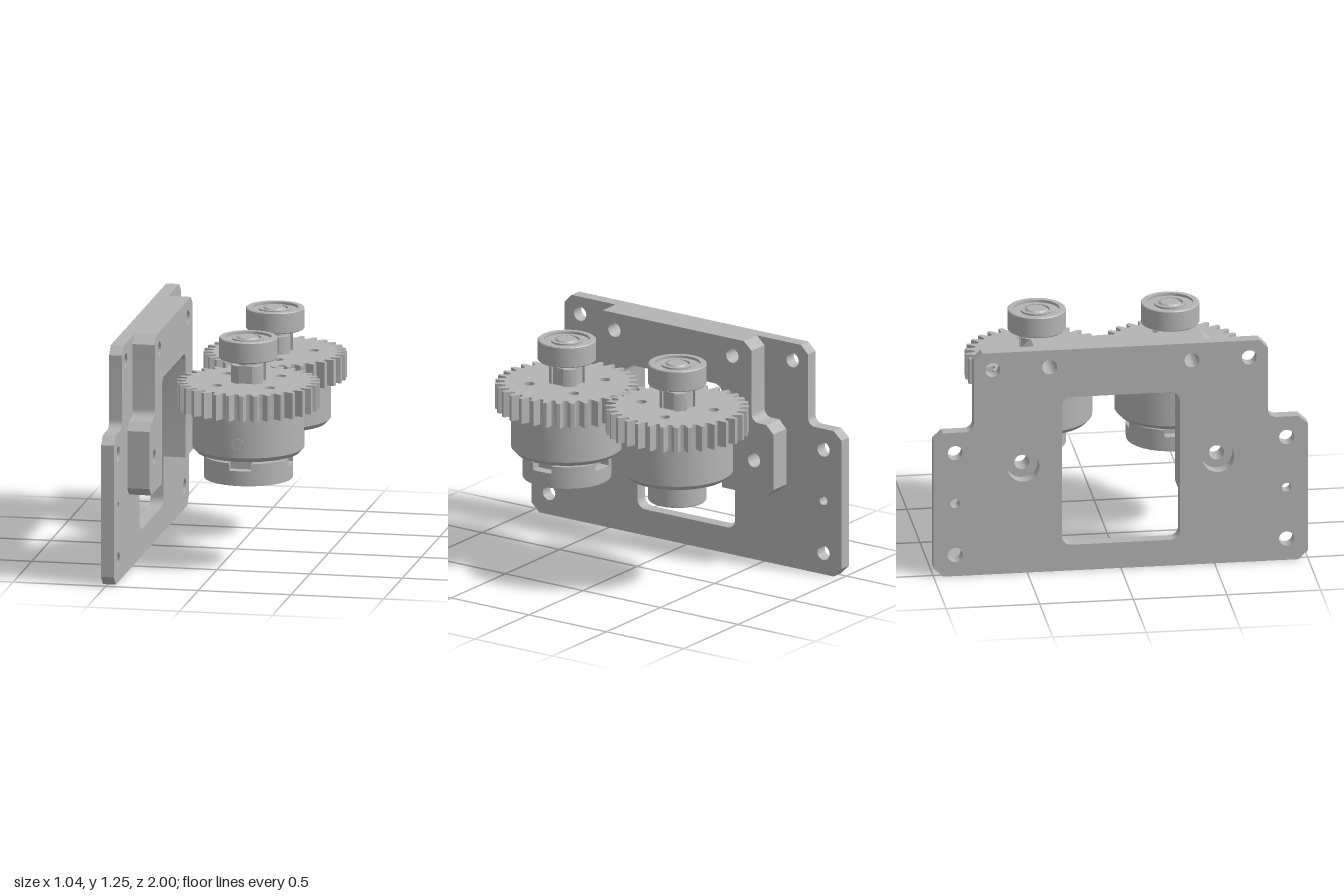
import * as THREE from 'three';
import { toCreasedNormals } from 'three/addons/utils/BufferGeometryUtils.js';

const grey = new THREE.MeshStandardMaterial({ color: 0xb4b4b4 });
grey.name = 'machined grey';

const V = (x, y) => new THREE.Vector2(x, y);
const polar = (r, a) => V(r * Math.cos(a), r * Math.sin(a));

function add(parent, name, geometry) {
  const mesh = new THREE.Mesh(toCreasedNormals(geometry, 0.5), grey);
  mesh.name = name;
  parent.add(mesh);
  return mesh;
}

function drill(shape, x, y, r) {
  shape.holes.push(new THREE.Path().absarc(x, y, r, 0, Math.PI * 2, true));
}

function extrude(shape, depth) {
  return new THREE.ExtrudeGeometry(shape, { depth, bevelEnabled: false, curveSegments: 16 });
}

// Upright slab: shape axes become z and y, thickness runs from x0 to x1
function slab(shape, x0, x1) {
  return extrude(shape, x1 - x0).rotateY(-Math.PI / 2).translate(x1, 0, 0);
}

// Horizontal disc lying between y0 and y1
function layer(shape, y0, y1) {
  return extrude(shape, y1 - y0).rotateX(-Math.PI / 2).translate(0, y0, 0);
}

function lathe(points) {
  return new THREE.LatheGeometry(points.map(p => V(...p)), 64);
}

// Quarter circle; sign -1 is a concave fillet, +1 a convex corner
function quarter(cx, cy, r, sign) {
  const pts = [];
  for (let i = 0; i <= 8; i++) {
    const t = i / 8 * Math.PI / 2;
    pts.push([cx + sign * r * Math.sin(t), cy + sign * r * Math.cos(t)]);
  }
  return pts;
}

// Closed outline from its +z half
function mirrored(half) {
  const other = half.map(([a, b]) => [-a, b]).reverse();
  return new THREE.Shape([...half, ...other].map(p => V(...p)));
}

function buildBracket(parent) {
  const bracket = new THREE.Group();
  bracket.name = 'bracket';
  parent.add(bracket);

  // Mounting plate with window and screw holes
  const plate = mirrored([[0.95, 0], [1, 0.05], [1, 0.765], [0.95, 0.81],
    ...quarter(0.83, 0.855, 0.045, -1), [0.785, 1.205], [0.74, 1.25]]);
  const lower = quarter(0.265, 0.195, 0.05, 1).map(([a, b]) => [a, 0.39 - b]);
  plate.holes.push(mirrored([...lower, ...quarter(0.265, 0.93, 0.05, 1).reverse()]));
  // Raised arch-shaped pad
  const pad = mirrored([...quarter(0.265, 0.93, 0.05, 1), [0.315, 0.41], [0.6, 0.41],
    [0.645, 0.455], [0.645, 0.765], [0.6, 0.81], ...quarter(0.55, 0.855, 0.045, -1),
    [0.505, 1.205], [0.455, 1.25]]);
  for (const s of [-1, 1]) {
    drill(plate, s * 0.685, 1.155, 0.04);
    drill(plate, s * 0.885, 0.695, 0.04);
    drill(plate, s * 0.885, 0.41, 0.025);
    drill(plate, s * 0.885, 0.12, 0.04);
    drill(plate, s * 0.52, 0.6, 0.085);
    drill(pad, s * 0.52, 0.6, 0.04);
    drill(plate, s * 0.38, 1.155, 0.04);
    drill(pad, s * 0.38, 1.155, 0.04);
  }
  add(bracket, 'mounting plate', slab(plate, -0.525, -0.455));
  add(bracket, 'raised pad', slab(pad, -0.455, -0.335));
}

// Toothed outline with 32 teeth, the first tooth turned by phase
function gearShape(phase) {
  const n = 32, pts = [];
  const tooth = [[-0.5, 0.328], [-0.34, 0.33], [-0.24, 0.352], [-0.13, 0.38],
    [0.13, 0.38], [0.24, 0.352], [0.34, 0.33]];
  for (let i = 0; i < n; i++)
    for (const [o, r] of tooth) pts.push(polar(r, phase + (i + o) / n * Math.PI * 2));
  return new THREE.Shape(pts);
}

// Disc with four notches cut into its rim
function notchedDisc(R, w, d) {
  const pts = [], a0 = Math.asin(w / R);
  for (let k = 0; k < 4; k++) {
    const turn = k * Math.PI / 2;
    for (let i = 0; i <= 12; i++)
      pts.push(polar(R, turn + a0 + (Math.PI / 2 - 2 * a0) * i / 12));
    for (const x of [w, -w]) pts.push(V(x, d).rotateAround(V(0, 0), turn));
  }
  return new THREE.Shape(pts);
}

// Ball bearing with grooved faces
function bearing(y0, y1) {
  const face = [[0, 0], [0.05, 0], [0.06, 0.01], [0.06, 0.016], [0.068, 0.016], [0.068, 0.004],
    [0.085, 0.004], [0.085, 0.014], [0.122, 0.014], [0.122, 0], [0.15, 0], [0.155, 0.005]];
  const bottom = face.map(([r, h]) => [r, y0 + h]);
  const top = face.map(([r, h]) => [r, y1 - h]).reverse();
  return lathe([...bottom, ...top]);
}

function buildGear(parent, name, z, phase, holeAngle) {
  const gear = new THREE.Group();
  gear.name = name;
  gear.position.set(0.14, 0, z);
  parent.add(gear);

  const teeth = gearShape(phase);
  for (let k = 0; k < 4; k++) {
    const p = polar(0.203, holeAngle + k * Math.PI / 2);
    drill(teeth, p.x, p.y, 0.03);
  }
  add(gear, 'toothed wheel', layer(teeth, 0.86, 1.0));
  add(gear, 'hub', lathe([[0, 0.62], [0.272, 0.62], [0.295, 0.645], [0.295, 0.86], [0, 0.86]]));
  add(gear, 'split collar', layer(notchedDisc(0.095, 0.037, 0.075), 1.0, 1.095));
  add(gear, 'upper shaft', new THREE.CylinderGeometry(0.06, 0.06, 0.14, 32).translate(0, 1.06, 0));
  add(gear, 'upper bearing', bearing(1.125, 1.24));
  return gear;
}

export function createModel() {
  const model = new THREE.Group();
  model.name = 'gear bracket assembly';
  buildBracket(model);

  // Rear gear, with a second bearing below
  const rear = buildGear(model, 'rear gear', -0.358, 0, Math.PI * 0.085);
  add(rear, 'lower neck', new THREE.CylinderGeometry(0.095, 0.08, 0.03, 32).translate(0, 0.61, 0));
  add(rear, 'lower bearing', bearing(0.48, 0.6));

  // Front gear, with a slotted coupling below
  const front = buildGear(model, 'front gear', 0.355, Math.PI / 32, Math.PI / 4);
  const flange = new THREE.Shape().absarc(0, 0, 0.235, 0, Math.PI * 2);
  drill(flange, 0, 0, 0.09);
  for (let k = 0; k < 4; k++) {
    const p = polar(0.185, Math.PI / 4 + k * Math.PI / 2);
    drill(flange, p.x, p.y, 0.025);
  }
  add(front, 'coupling flange', layer(flange, 0.48, 0.56));
  add(front, 'slotted coupling', layer(notchedDisc(0.235, 0.06, 0.1), 0.56, 0.6));
  add(front, 'coupling neck', new THREE.CylinderGeometry(0.155, 0.155, 0.03, 48).translate(0, 0.61, 0));
  for (let k = 0; k < 4; k++) {
    add(front, 'drive tab', new THREE.BoxGeometry(0.12, 0.06, 0.07).translate(0, 0.59, 0.14))
      .rotation.y = k * Math.PI / 2;
  }
  // Hexagonal socket of the set screw
  const screw = new THREE.Shape().absarc(0, 0, 0.034, 0, Math.PI * 2);
  screw.holes.push(new THREE.Path([0, 1, 2, 3, 4, 5].map(i => polar(0.026, -i * Math.PI / 3))));
  add(front, 'set screw', extrude(screw, 0.008).translate(0, 0.715, 0.29));

  return model;
}
